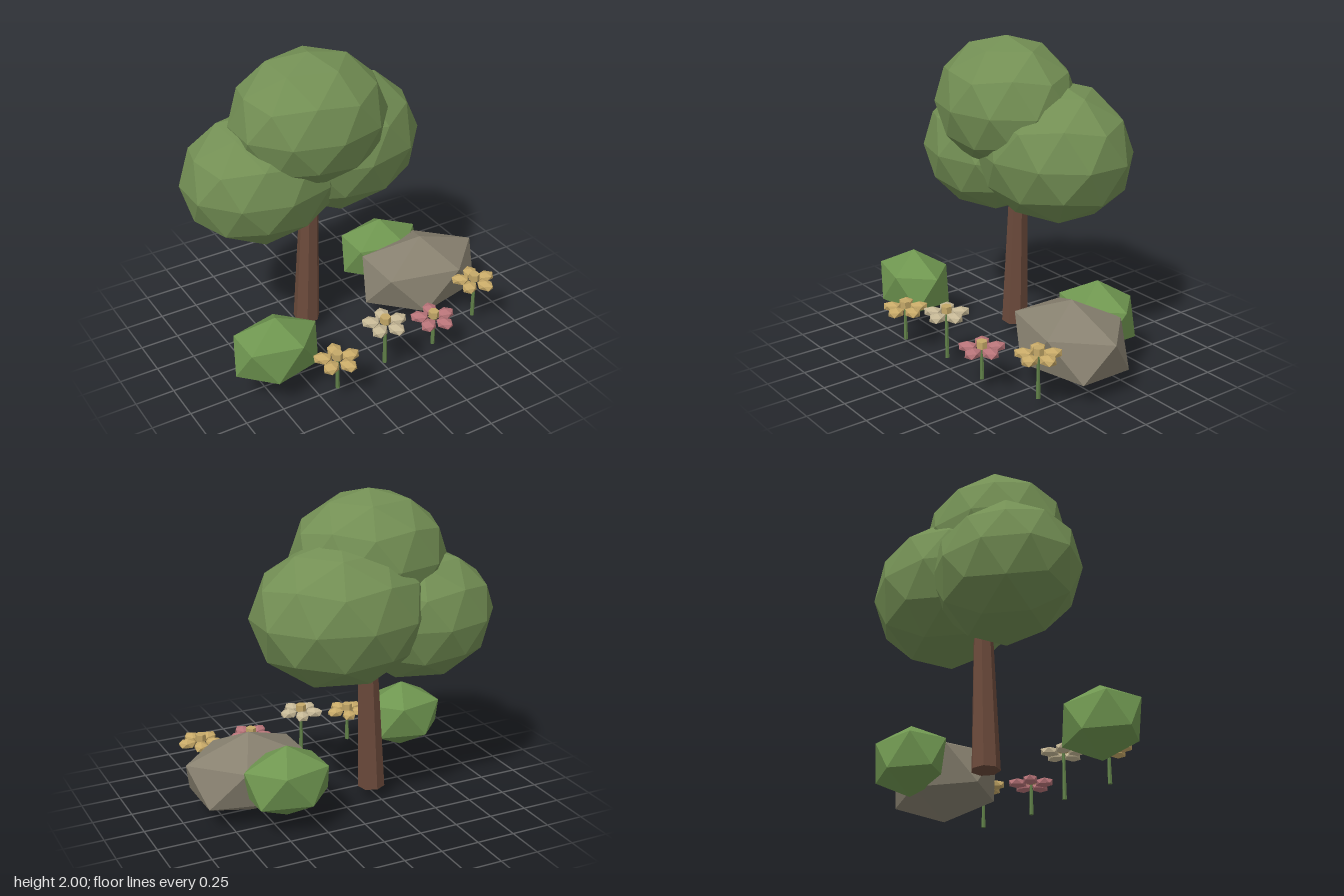
import * as THREE from 'three';

const paint = (name, color) => {
  const m = new THREE.MeshStandardMaterial({ color, flatShading: true });
  m.name = name;
  return m;
};

// Unit icosphere with its poles on y and an upper ring corner on +x
function icosphere(detail) {
  const verts = [0, 1, 0, 0, -1, 0], faces = [];
  const ringY = 1 / Math.sqrt(5), ringR = 2 / Math.sqrt(5);
  for (let k = 0; k < 5; k++) {
    const a = k * Math.PI * 0.4, b = a + Math.PI * 0.2;
    verts.push(ringR * Math.cos(a), ringY, -ringR * Math.sin(a));
    verts.push(ringR * Math.cos(b), -ringY, -ringR * Math.sin(b));
    const u = 2 + 2 * k, l = u + 1, u2 = 2 + 2 * ((k + 1) % 5), l2 = u2 + 1;
    faces.push(0, u, u2, u, l, u2, l, l2, u2, 1, l2, l);
  }
  return new THREE.PolyhedronGeometry(verts, faces, 1, detail);
}

export function createModel() {
  const model = new THREE.Group();
  model.name = 'treeWithGarden';

  const foliage = paint('foliage green', 0x738f54);
  const bushGreen = paint('bush green', 0x6f9650);
  const bark = paint('bark brown', 0x6b4a3b);
  const stone = paint('stone grey', 0x888170);
  const stemGreen = paint('stem green', 0x608048);
  const yellow = paint('petal yellow', 0xc8aa68);
  const cream = paint('petal cream', 0xc6b896);
  const pink = paint('petal pink', 0xb87479);
  const pollen = paint('flower centre yellow', 0xc4a868);

  const coarse = icosphere(0), fine = icosphere(1);

  const add = (parent, name, geometry, material, position, scale = [1, 1, 1]) => {
    const mesh = new THREE.Mesh(geometry, material);
    mesh.name = name;
    mesh.position.set(...position);
    mesh.scale.set(...scale);
    parent.add(mesh);
    return mesh;
  };

  // Tree: slightly leaning seven-sided trunk and three leaf balls
  const tree = new THREE.Group();
  tree.name = 'tree';
  model.add(tree);
  const trunkGeometry = new THREE.CylinderGeometry(0.052, 0.087, 1.15, 7, 1, false, Math.PI);
  trunkGeometry.translate(0, 0.575, 0);
  add(tree, 'trunk', trunkGeometry, bark, [-0.214, 0.08, -0.168]).rotation.z = -0.038;
  add(tree, 'topFoliage', fine, foliage, [-0.21, 1.58, -0.1], [0.5, 0.42, 0.425]);
  add(tree, 'rightFoliage', fine, foliage, [-0.5, 1.212, -0.2], [0.5, 0.415, 0.427]);
  add(tree, 'leftFoliage', fine, foliage, [0.06, 1.3, -0.26], [0.555, 0.45, 0.46]);

  // Bushes and boulder
  add(model, 'frontBush', coarse, bushGreen, [-0.69, 0.31, 0.31], [0.308, 0.23, 0.232]);
  add(model, 'backBush', coarse, bushGreen, [0.44, 0.31, -0.317], [0.308, 0.23, 0.235]);
  add(model, 'boulder', coarse, stone, [0.56, 0.266, -0.01], [0.46, 0.266, 0.335]);

  // Flowers: stem, five petals and a six-sided centre
  const centreGeometry = new THREE.CylinderGeometry(0.034, 0.034, 0.045, 6);
  const stemBase = 0.07;
  const addFlower = (x, headY, z, petalMaterial) => {
    const flower = new THREE.Group();
    flower.name = 'flower';
    flower.position.set(x, 0, z);
    model.add(flower);
    const height = headY - stemBase;
    add(flower, 'stem', new THREE.CylinderGeometry(0.01, 0.014, height, 6), stemGreen,
      [0, stemBase + height / 2, 0]);
    for (let k = 0; k < 5; k++) {
      const a = k * Math.PI * 0.4;
      add(flower, 'petal', coarse, petalMaterial,
        [0.089 * Math.cos(a), headY, -0.089 * Math.sin(a)], [0.064, 0.033, 0.05]).rotation.y = a;
    }
    add(flower, 'flowerCentre', centreGeometry, pollen, [0, headY + 0.028, 0]);
  };
  addFlower(-0.408, 0.285, 0.563, yellow);
  addFlower(-0.028, 0.369, 0.5, cream);
  addFlower(0.338, 0.271, 0.495, pink);
  addFlower(0.734, 0.347, 0.377, yellow);

  return model;
}
